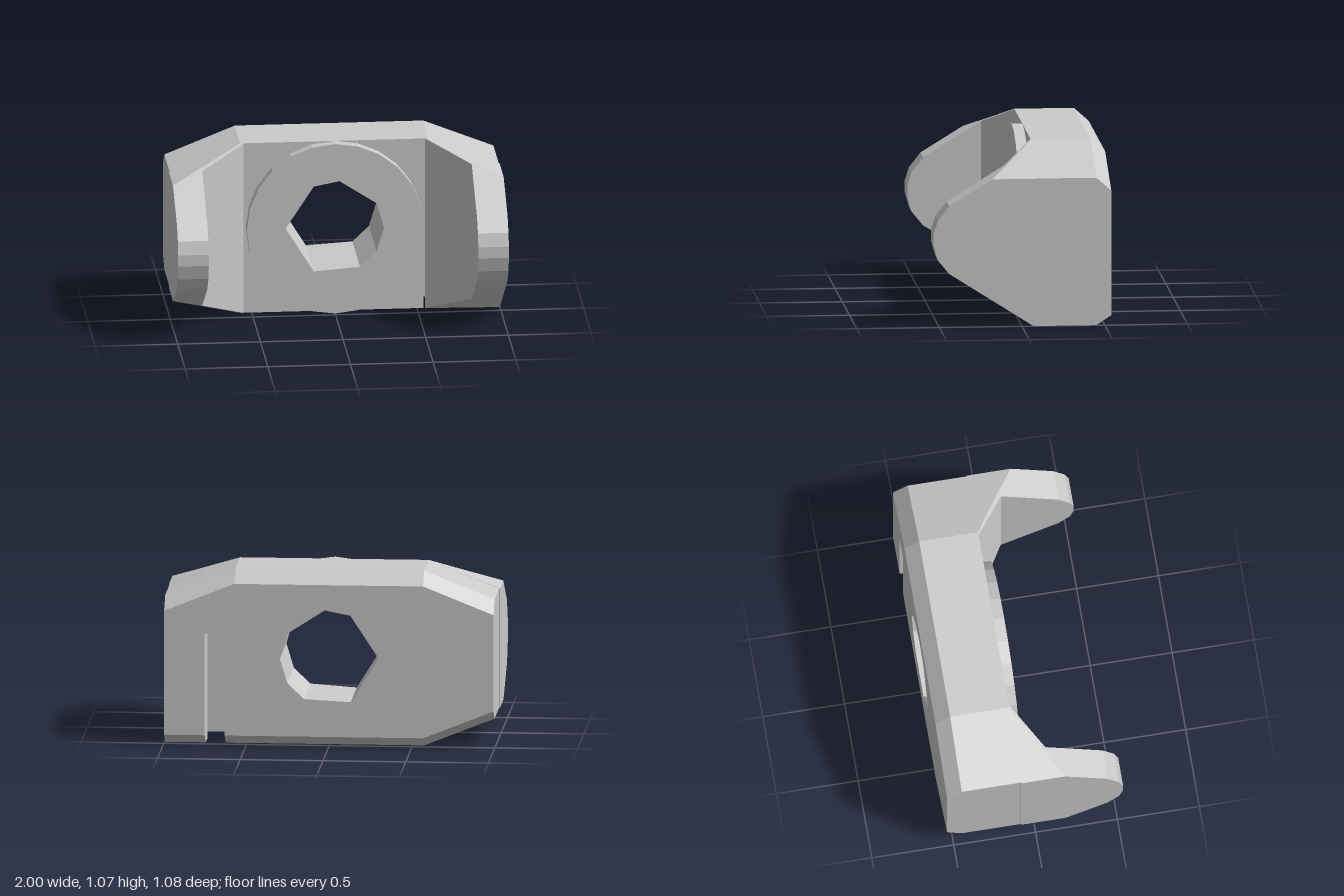
import * as THREE from 'three';
import { ConvexGeometry } from 'three/addons/geometries/ConvexGeometry.js';

const material = new THREE.MeshStandardMaterial({ color: 0xcccccc, flatShading: true });
const BACK = -0.54, CHAMFER = -0.45, SLOT = -0.32, FACE = -0.09, BOSS = -0.025;

// Irregular through hole
const hole = [[-0.3, 0.545], [-0.13, 0.805], [0.025, 0.835], [0.25, 0.69],
  [0.295, 0.535], [0.25, 0.385], [0.15, 0.29], [-0.13, 0.27]];

// Half of the side outline: [z, y], upper and lower edges
const upper = [[-0.09, 1.07], [-0.07, 1.06], [0.1, 0.95], [0.44, 0.74], [0.51, 0.65], [0.535, 0.57]];
const lower = [[-0.09, 0], [-0.07, 0], [0.1, 0.115], [0.44, 0.325], [0.51, 0.41], [0.535, 0.5]];

function heightAt(edge, z) {
  for (let i = 1; i < edge.length; i++) {
    const [z0, y0] = edge[i - 1], [z1, y1] = edge[i];
    if (z <= z1) return y0 + (y1 - y0) * (z - z0) / (z1 - z0);
  }
  return edge[edge.length - 1][1];
}

// Ends slope in, except along the lower edge of the left end
const slope = (x) => 0.17 * Math.max(0, (Math.abs(x) - 0.57) / 0.43);
const topAt = (x, z) => Math.min(1.07 - slope(x), heightAt(upper, z));
const bottomAt = (x, z) => Math.max(x < 0 ? slope(x) : 0, heightAt(lower, z));

function holePath() {
  return new THREE.Path(hole.map(([x, y]) => new THREE.Vector2(x, y)));
}

// Full width outline with a slot cut up from the bottom
function slabShape(slot0, slot1) {
  const s = new THREE.Shape([
    [-0.995, 0.17], [-0.57, 0], [slot0, 0], [slot0, 0.68], [slot1, 0.68], [slot1, 0],
    [0.995, 0], [0.995, 0.9], [0.57, 1.07], [-0.57, 1.07], [-0.995, 0.9],
  ].map(([x, y]) => new THREE.Vector2(x, y)));
  s.holes.push(holePath());
  return s;
}

function extrude(shape, z0, z1, steps = 1) {
  const g = new THREE.ExtrudeGeometry(shape, { depth: z1 - z0, steps, bevelEnabled: false });
  return g.translate(0, 0, z0);
}

// Slice of an end at one x, from the face to zEnd
function slice(x, zEnd) {
  const zs = [FACE, -0.07, 0, 0.06, 0.1, 0.18, 0.3, 0.44, 0.51, 0.535].filter((z) => z < zEnd);
  return [...zs, zEnd].flatMap((z) => [
    new THREE.Vector3(x, topAt(x, z), z), new THREE.Vector3(x, bottomAt(x, z), z),
  ]);
}

export function createModel() {
  const group = new THREE.Group();
  const add = (name, geometry) => {
    geometry.computeVertexNormals();
    const mesh = new THREE.Mesh(geometry, material);
    mesh.name = name;
    group.add(mesh);
  };

  // Back plate: outer edges chamfered towards the rear
  const backPlate = extrude(slabShape(0.63, 0.75), BACK, SLOT, 2);
  const p = backPlate.attributes.position;
  const middle = (BACK + SLOT) / 2;
  for (let i = 0; i < p.count; i++) {
    const z = p.getZ(i), y = p.getY(i);
    if (Math.abs(z - middle) < 0.01) p.setZ(i, CHAMFER);
    else if (z < middle) {
      if (y > 0.85) p.setY(i, y - 0.08);
      else if (y < 0.2) p.setY(i, y + 0.06);
    }
  }
  add('backPlate', backPlate);

  // Front plate: slot widens into a T
  add('frontPlate', extrude(slabShape(0.54, 0.84), SLOT, FACE));

  // Round boss around the hole
  const disc = new THREE.Shape();
  disc.absarc(0, 0.535, 0.535, 0, Math.PI * 2, false);
  disc.holes.push(holePath());
  add('boss', extrude(disc, FACE, BOSS));

  // Slanted shoulders and rounded arms at both ends
  for (const side of [1, -1]) {
    const name = side > 0 ? 'left' : 'right';
    add(name + 'Shoulder', new ConvexGeometry([
      new THREE.Vector3(side * 0.55, 0, FACE), new THREE.Vector3(side * 0.55, 1.07, FACE),
      new THREE.Vector3(side * 0.57, 0, FACE), new THREE.Vector3(side * 0.57, 1.07, FACE),
      ...slice(side * 0.815, 0.09),
    ]));
    add(name + 'Arm', new ConvexGeometry([...slice(side * 0.815, 0.535), ...slice(side, 0.535)]));
  }
  return group;
}
